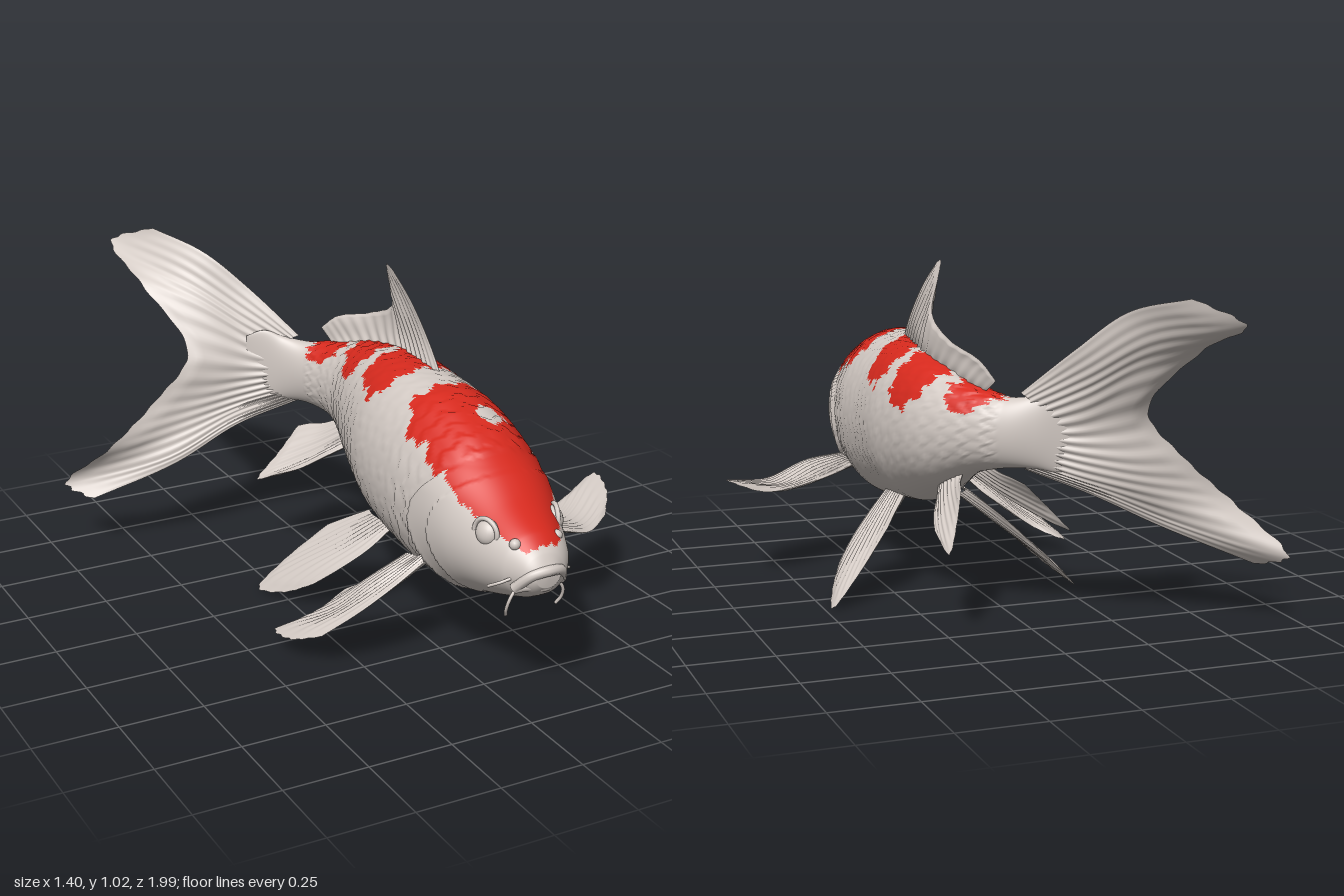
import * as THREE from 'three';

const V = (p) => new THREE.Vector3(...p);
const spline = (pts) => new THREE.CatmullRomCurve3(pts.map(V));

// Body stations from nose to tail root: spine x, spine z, top y, bottom y, half width
const STATIONS = [
  [.05, .985, .45, .395, .035], [.05, .96, .485, .365, .065], [.055, .91, .525, .335, .1],
  [.065, .8, .578, .295, .142], [.075, .7, .64, .265, .172], [.08, .6, .7, .24, .187],
  [.085, .5, .735, .222, .197], [.09, .4, .757, .218, .203], [.1, .2, .765, .245, .2],
  [.13, 0, .758, .285, .178], [.138, -.2, .725, .365, .135], [.098, -.34, .685, .44, .09],
  [.04, -.43, .668, .465, .06], [-.02, -.485, .68, .468, .034], [-.075, -.518, .7, .46, .016],
  [-.13, -.545, .68, .48, .002],
];

// Red patches: front z, back z, reach down the side in radians (right, left)
const PATCHES = [
  [.945, .35, .9, .98], [.21, .005, .88, 1.12], [-.045, -.21, 1.0, 1.3], [-.265, -.4, 1.0, 1.05],
];

function isRed(x, z, t) {
  const rough = z > .62 ? .3 : 1;
  const jag = rough * (.012 * Math.sin(t * 17 + z * 9) + .007 * Math.sin(t * 41));
  const zz = z + jag + (t > 0 && z < -.1 ? .03 : 0);
  if (Math.hypot(x - .135, (z - .53) * 1.1) < .042 + jag * .6) return false;
  return PATCHES.some(([front, back, right, left]) => {
    if (zz > front || zz < back) return false;
    const m = (front - zz) / (front - back);
    const round = Math.pow(Math.max(0, Math.sin(Math.PI * m)), front > .9 ? .12 : .3);
    const wave = rough * (.07 * Math.sin(z * 47) + .05 * Math.sin(z * 110 + t));
    return Math.abs(t) < (t > 0 ? left : right) * round + wave;
  });
}

// Relief: gill cover edge, cheek plate and overlapping scales
function relief(t, y, z) {
  let d = 0;
  const bend = ((y - .43) / .2) ** 2;
  for (const [at, amount] of [[.52, .013], [.61, .006]]) {
    const behind = z - (at + .12 * bend);
    if (behind > 0 && y < .64) d += amount * Math.exp(-behind / .05) * Math.min(1, (.64 - y) * 12);
  }
  if (z < .5 + .12 * bend && Math.abs(t) < 2.5 && z > -.42) {
    const row = -z / .052 + .5 * Math.abs(Math.sin(t * 9));
    d += .0038 * (row - Math.floor(row)) * Math.min(1, (2.5 - Math.abs(t)) * 2);
  }
  return d;
}

function bodyGeometry() {
  const ROWS = 200, COLS = 130;
  const spine = spline(STATIONS.map((s) => [s[0], 0, s[1]]));
  const profile = spline(STATIONS.map((s) => s.slice(2)));
  const pos = [], angles = [];
  for (let i = 0; i <= ROWS; i++) {
    const u = i / ROWS, c = spine.getPoint(u), T = spine.getTangent(u), p = profile.getPoint(u);
    const mid = (p.x + p.y) / 2, h = (p.x - p.y) / 2, end = i === 0 || i === ROWS ? 0 : 1;
    for (let j = 0; j < COLS; j++) {
      let t = (j / COLS) * Math.PI * 2;
      if (t > Math.PI) t -= Math.PI * 2;
      const sn = Math.sin(t), cs = Math.cos(t);
      const d = relief(t, mid + h * cs, c.z) * end;
      const lat = (p.z * Math.sign(sn) * Math.abs(sn) ** .92 + d * sn) * end;
      pos.push(c.x - T.z * lat, mid + (h + d) * cs * end, c.z + T.x * lat);
      angles.push(t);
    }
  }
  const white = [], red = [];
  const add = (a, b, c) => {
    const mean = (k) => (pos[a * 3 + k] + pos[b * 3 + k] + pos[c * 3 + k]) / 3;
    (isRed(mean(0), mean(2), angles[a]) ? red : white).push(a, b, c);
  };
  for (let i = 0; i < ROWS; i++) for (let j = 0; j < COLS; j++) {
    const k = (j + 1) % COLS, a = i * COLS + j, b = i * COLS + k;
    add(a, b, a + COLS);
    add(b, b + COLS, a + COLS);
  }
  const g = new THREE.BufferGeometry();
  g.setAttribute('position', new THREE.Float32BufferAttribute(pos, 3));
  g.setIndex([...white, ...red]);
  g.addGroup(0, white.length, 0);
  g.addGroup(white.length, red.length, 1);
  g.computeVertexNormals();
  return g;
}

// Fin: a thin closed shell lofted across a few bony rays, ribbed, with a faintly scalloped rim
function finGeometry(rays, ribs, thick) {
  const NU = 24, NV = ribs * 6, W = NV + 1;
  const curves = rays.map(spline), mid = [], front = [], back = [];
  for (let i = 0; i <= NU; i++) for (let j = 0; j <= NV; j++) {
    const v = j / NV, u = (i / NU) * (1 - .012 * Math.cos(Math.PI * ribs * v) ** 2);
    mid.push(...new THREE.CatmullRomCurve3(curves.map((c) => c.getPoint(u))).getPoint(v).toArray());
  }
  for (let i = 0; i < NU; i++) for (let j = 0; j < NV; j++) {
    const a = i * W + j;
    front.push(a, a + 1, a + W, a + 1, a + W + 1, a + W);
    back.push(a, a + W, a + 1, a + 1, a + W, a + W + 1);
  }
  const sheet = new THREE.BufferGeometry();
  sheet.setAttribute('position', new THREE.Float32BufferAttribute(mid, 3));
  sheet.setIndex(front);
  sheet.computeVertexNormals();
  const n = sheet.attributes.normal.array, pos = [];
  for (const side of [1, -1]) for (let k = 0; k < mid.length; k++) {
    const id = Math.floor(k / 3), u = Math.floor(id / W) / NU, v = (id % W) / NV;
    const edge = Math.sqrt(Math.max(0, 4 * v * (1 - v))) * Math.min(1, (1 - u) * 8);
    const rib = 1 + .22 * Math.cos(Math.PI * 2 * ribs * v);
    pos.push(mid[k] + side * n[k] * thick * (1 - .6 * u) * edge * rib);
  }
  const g = new THREE.BufferGeometry();
  g.setAttribute('position', new THREE.Float32BufferAttribute(pos, 3));
  g.setIndex([...front, ...back.map((k) => k + W * (NU + 1))]);
  g.computeVertexNormals();
  return g;
}

// Each fin is a list of rays, each ray running from root to rim
const TAIL = [
  [[.02, .685, -.46], [-.09, .82, -.59], [-.2, .93, -.69], [-.31, .985, -.87]],
  [[0, .67, -.48], [-.12, .76, -.59], [-.26, .87, -.72], [-.405, .925, -.995]],
  [[-.02, .63, -.49], [-.13, .69, -.57], [-.25, .77, -.65], [-.39, .83, -.78]],
  [[-.03, .58, -.49], [-.12, .59, -.54], [-.21, .61, -.57], [-.31, .635, -.6]],
  [[-.02, .54, -.49], [-.15, .51, -.55], [-.28, .49, -.58], [-.43, .49, -.6]],
  [[-.01, .5, -.48], [-.16, .45, -.55], [-.34, .4, -.58], [-.59, .345, -.62]],
  [[0, .48, -.47], [-.18, .41, -.54], [-.4, .31, -.57], [-.7, .21, -.73]],
  [[.01, .465, -.46], [-.17, .39, -.53], [-.38, .285, -.555], [-.64, .173, -.65]],
];
const DORSAL = [
  [[.125, .74, .28], [.135, .83, .18], [.125, .93, .09], [.11, 1.01, 0]],
  [[.13, .74, .2], [.145, .83, .1], [.135, .93, .02], [.11, 1.02, -.04]],
  [[.14, .74, .1], [.155, .8, .03], [.145, .88, -.02], [.13, .97, -.07]],
  [[.15, .73, 0], [.16, .78, -.05], [.16, .83, -.07], [.155, .875, -.085]],
  [[.145, .71, -.12], [.15, .75, -.17], [.15, .785, -.2], [.15, .81, -.22]],
  [[.12, .68, -.24], [.12, .715, -.29], [.11, .75, -.33], [.105, .765, -.36]],
  [[.09, .66, -.33], [.09, .68, -.37], [.085, .7, -.4], [.08, .715, -.42]],
];
const PECTORAL_LEFT = [
  [[.23, .33, .54], [.37, .32, .545], [.5, .28, .515], [.61, .285, .44]],
  [[.22, .33, .53], [.37, .315, .51], [.52, .275, .45], [.68, .32, .34]],
  [[.22, .325, .51], [.36, .31, .46], [.51, .275, .38], [.7, .335, .24]],
  [[.23, .32, .48], [.35, .3, .42], [.46, .28, .36], [.59, .29, .26]],
  [[.24, .315, .45], [.3, .3, .42], [.37, .29, .38], [.45, .28, .34]],
];
const PECTORAL_RIGHT = [
  [[-.07, .32, .54], [-.18, .26, .545], [-.28, .19, .52], [-.37, .11, .46]],
  [[-.07, .315, .52], [-.19, .24, .5], [-.3, .16, .45], [-.42, .07, .36]],
  [[-.08, .31, .5], [-.19, .23, .45], [-.29, .14, .39], [-.415, .055, .25]],
  [[-.08, .3, .46], [-.17, .23, .41], [-.25, .16, .36], [-.33, .09, .29]],
  [[-.08, .29, .43], [-.13, .25, .4], [-.17, .21, .37], [-.22, .17, .32]],
];
const PELVIC_LEFT = [
  [[.19, .29, .23], [.26, .22, .205], [.33, .155, .16], [.395, .09, .1]],
  [[.19, .28, .2], [.28, .2, .14], [.37, .12, .07], [.445, .035, .005]],
  [[.19, .28, .16], [.28, .2, .09], [.38, .11, -.01], [.478, .008, -.118]],
  [[.19, .28, .12], [.26, .22, .05], [.33, .155, -.02], [.4, .09, -.1]],
  [[.19, .29, .08], [.215, .27, .05], [.24, .25, .02], [.28, .215, -.03]],
];
const PELVIC_RIGHT = PELVIC_LEFT.map((ray) => ray.map(([x, y, z]) => [.18 - x, y, z]));
const ANAL_LEFT = [
  [[.15, .41, -.15], [.195, .35, -.24], [.23, .31, -.31], [.25, .285, -.38]],
  [[.15, .41, -.19], [.19, .355, -.28], [.225, .31, -.38], [.252, .25, -.515]],
  [[.14, .43, -.23], [.17, .39, -.3], [.19, .36, -.37], [.21, .325, -.46]],
  [[.12, .45, -.27], [.145, .43, -.32], [.165, .42, -.36], [.18, .405, -.41]],
];
const ANAL_RIGHT = [
  [[.06, .41, -.16], [-.02, .36, -.21], [-.08, .315, -.26], [-.14, .285, -.315]],
  [[.06, .41, -.2], [0, .36, -.25], [-.07, .31, -.31], [-.17, .25, -.39]],
  [[.06, .43, -.24], [.01, .39, -.29], [-.04, .36, -.335], [-.1, .325, -.385]],
  [[.06, .45, -.28], [.035, .43, -.32], [.01, .42, -.36], [-.02, .405, -.395]],
];

export function createModel() {
  const white = new THREE.MeshStandardMaterial({ color: 0xd3cac4 });
  white.name = 'pearl white';
  const red = new THREE.MeshStandardMaterial({ color: 0xd6291d });
  red.name = 'scarlet';
  const fish = new THREE.Group();
  fish.name = 'fish';
  const add = (name, geometry, material = white) => {
    const mesh = new THREE.Mesh(geometry, material);
    mesh.name = name;
    fish.add(mesh);
    return mesh;
  };
  add('body', bodyGeometry(), [white, red]);

  // Fins
  add('tailFin', finGeometry(TAIL, 18, .016));
  add('dorsalFin', finGeometry(DORSAL, 16, .014));
  add('leftPectoralFin', finGeometry(PECTORAL_LEFT, 11, .015));
  add('rightPectoralFin', finGeometry(PECTORAL_RIGHT, 11, .015));
  add('leftPelvicFin', finGeometry(PELVIC_LEFT, 10, .014));
  add('rightPelvicFin', finGeometry(PELVIC_RIGHT, 10, .014));
  add('leftAnalFin', finGeometry(ANAL_LEFT, 8, .013));
  add('rightAnalFin', finGeometry(ANAL_RIGHT, 8, .013));

  // Lips
  const lip = (name, y, z, drop) => add(name, new THREE.TubeGeometry(spline([
    [-.025, .385, .93], [.005, y - drop, z - .015], [.05, y, z], [.095, y - drop, z - .015], [.125, .385, .93],
  ]), 32, .015, 10));
  lip('upperLip', .443, .985, .012);
  lip('lowerLip', .39, .965, -.004);

  // Eyes, nostrils and barbels on both sides of the head
  for (const [side, s] of [['left', 1], ['right', -1]]) {
    const eye = add(side + 'Eye', new THREE.SphereGeometry(.036, 24, 16));
    eye.position.set(.064 + s * .105, .507, .815);
    eye.rotation.set(0, -s * .3, s * .25);
    eye.scale.x = .75;
    const rim = add(side + 'EyeRim', new THREE.TorusGeometry(.04, .007, 8, 28));
    rim.position.set(.064 + s * .11, .507, .815);
    rim.rotation.set(0, s * 1.25, 0);
    const nostril = add(side + 'Nostril', new THREE.SphereGeometry(.016, 14, 10));
    nostril.position.set(.056 + s * .066, .5, .905);
    add(side + 'Barbel', new THREE.TubeGeometry(spline([
      [.05 + s * .07, .375, .925], [.05 + s * .085, .35, .925], [.05 + s * .088, .32, .915], [.05 + s * .08, .295, .9],
    ]), 16, .005, 8));
    add(side + 'UpperBarbel', new THREE.TubeGeometry(spline([
      [.05 + s * .08, .41, .92], [.05 + s * .11, .4, .91], [.05 + s * .13, .385, .885],
    ]), 12, .0045, 8));
  }
  return fish;
}
